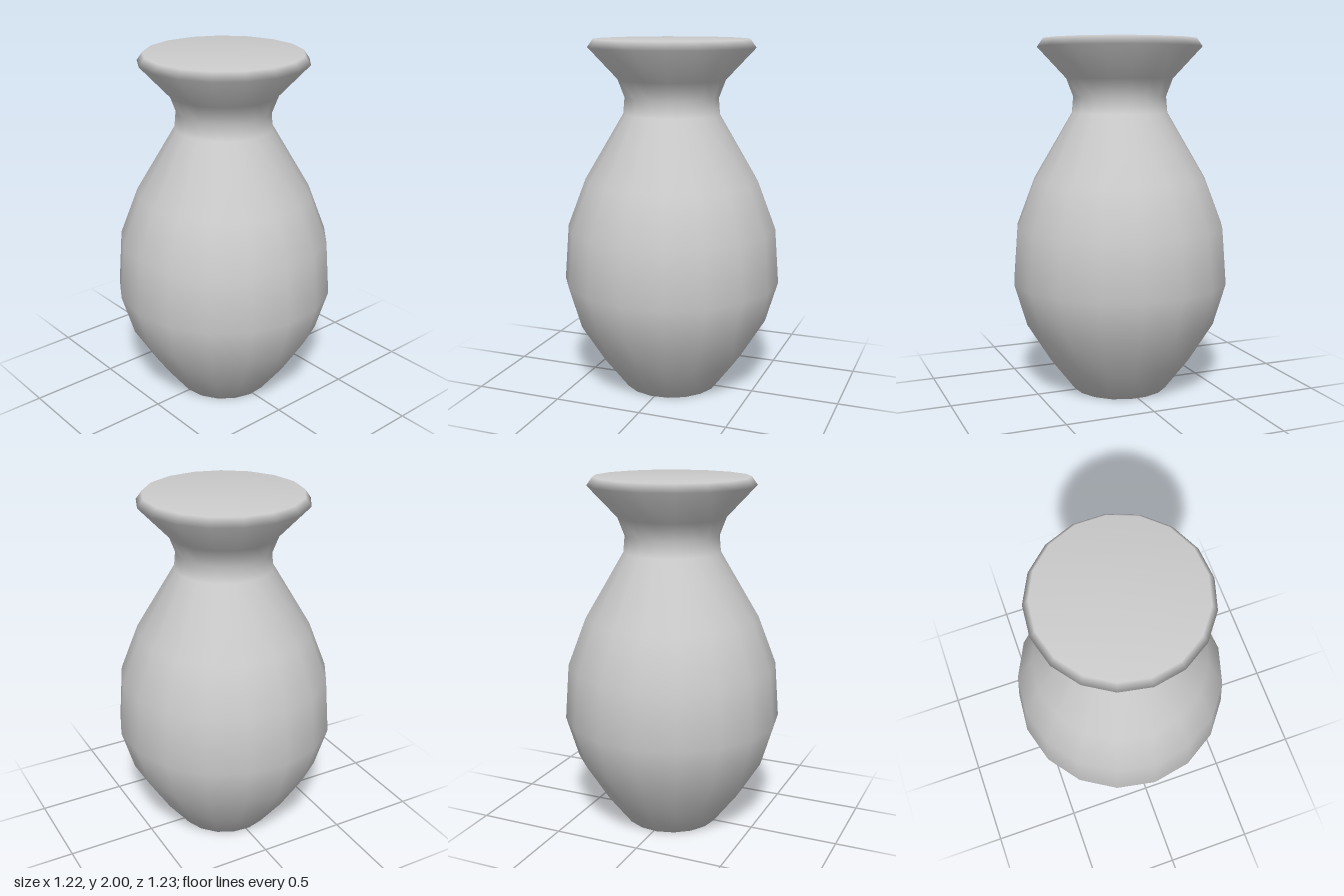
import * as THREE from 'three';
import { mergeVertices } from 'three/addons/utils/BufferGeometryUtils.js';

const SIDES = 17;

// Outline as [radius, height], from the centre of the base to the centre of the top
const PROFILE = [
  [0, 0], [0.272, 0],                              // flat base
  [0.41, 0.18], [0.547, 0.4], [0.617, 0.635],      // lower belly
  [0.593, 0.95], [0.49, 1.22], [0.272, 1.59],      // upper belly
  [0.264, 1.68], [0.302, 1.78],                    // neck
  [0.467, 1.955], [0.435, 2], [0, 2],              // flared lip and closed top
];

export function createModel() {
  const group = new THREE.Group();
  group.name = 'vase';

  const points = PROFILE.map(([r, y]) => new THREE.Vector2(r, y));
  let geometry = new THREE.LatheGeometry(points, SIDES, -Math.PI / 2);

  // Weld the seam and poles, then smooth over the whole surface
  geometry.deleteAttribute('uv');
  geometry.deleteAttribute('normal');
  geometry = mergeVertices(geometry, 1e-4);
  geometry.computeVertexNormals();

  // The odd number of sides is slightly off balance, so centre it
  geometry.translate(0.005, 0, 0);

  const body = new THREE.Mesh(geometry, new THREE.MeshStandardMaterial({ color: 0xcccccc }));
  body.name = 'vaseBody';
  group.add(body);
  return group;
}
